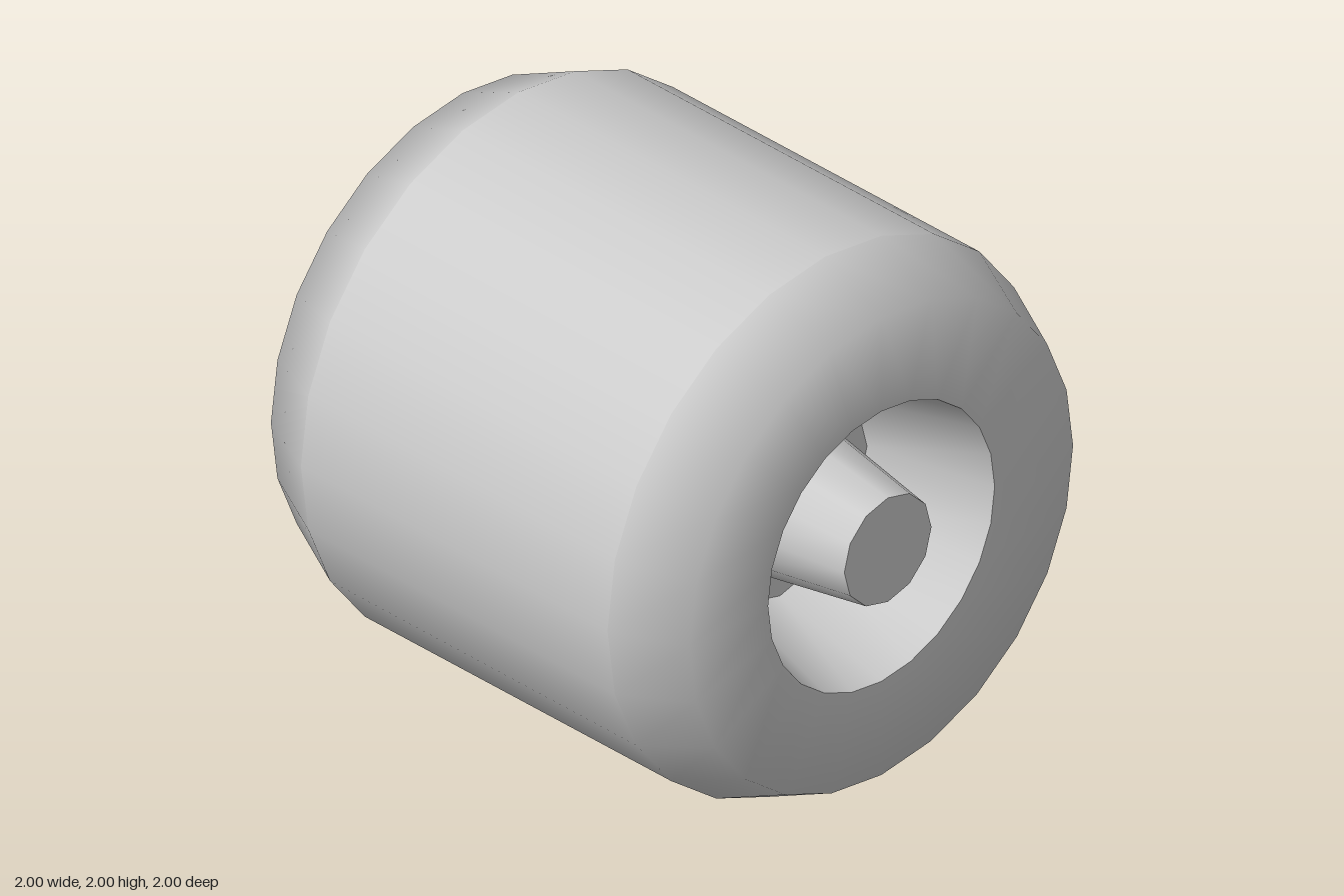
import * as THREE from 'three';

const material = new THREE.MeshStandardMaterial({ color: 0xcccccc });

// Revolve a [radius, z] profile about the z axis
function turned(name, profile, sides) {
  const points = profile.map(([r, z]) => new THREE.Vector2(r, z));
  const geometry = new THREE.LatheGeometry(points, sides).rotateX(Math.PI / 2);
  const mesh = new THREE.Mesh(geometry, material);
  mesh.name = name;
  return mesh;
}

// Tapered recess wall joining a 24-sided rim to a 12-sided floor
function recessWall(rimRadius, rimZ, floorRadius, floorZ) {
  const positions = [], indices = [];
  const ring = (count, r, z) => {
    for (let i = 0; i < count; i++) {
      const a = (i / count) * Math.PI * 2;
      positions.push(r * Math.cos(a), r * Math.sin(a), z);
    }
  };
  ring(24, rimRadius, rimZ);
  ring(12, floorRadius, floorZ);
  for (let i = 0; i < 12; i++) {
    const a = 2 * i, b = a + 1, c = (a + 2) % 24;
    const n = 24 + i, m = 24 + ((i + 1) % 12);
    indices.push(a, b, n, b, m, n, b, c, m);
  }
  const geometry = new THREE.BufferGeometry();
  geometry.setAttribute('position', new THREE.Float32BufferAttribute(positions, 3));
  geometry.setIndex(indices);
  geometry.computeVertexNormals();
  const mesh = new THREE.Mesh(geometry, material);
  mesh.name = 'recessWall';
  return mesh;
}

// Shoulder, recess and axle stub on one side of the wheel
function wheelEnd(name) {
  const end = new THREE.Group();
  end.name = name;
  end.add(
    turned('shoulder', [[1, 0.71], [0.88, 0.97], [0.52, 0.97]], 24),
    recessWall(0.52, 0.97, 0.4, 0.5),
    turned('recessFloor', [[0.4, 0.5], [0.28, 0.5]], 12),
    turned('axleStub', [[0.28, 0.5], [0.2, 1]], 12),
    turned('axleCap', [[0.2, 1], [0, 1]], 12)
  );
  return end;
}

export function createModel() {
  const wheel = new THREE.Group();
  wheel.name = 'wheel';
  wheel.add(turned('tread', [[1, -0.71], [1, 0.71]], 24));

  // Identical ends, front and back
  const back = wheelEnd('backEnd');
  back.rotation.y = Math.PI;
  wheel.add(wheelEnd('frontEnd'), back);

  wheel.position.y = 1;
  const model = new THREE.Group();
  model.add(wheel);
  return model;
}
